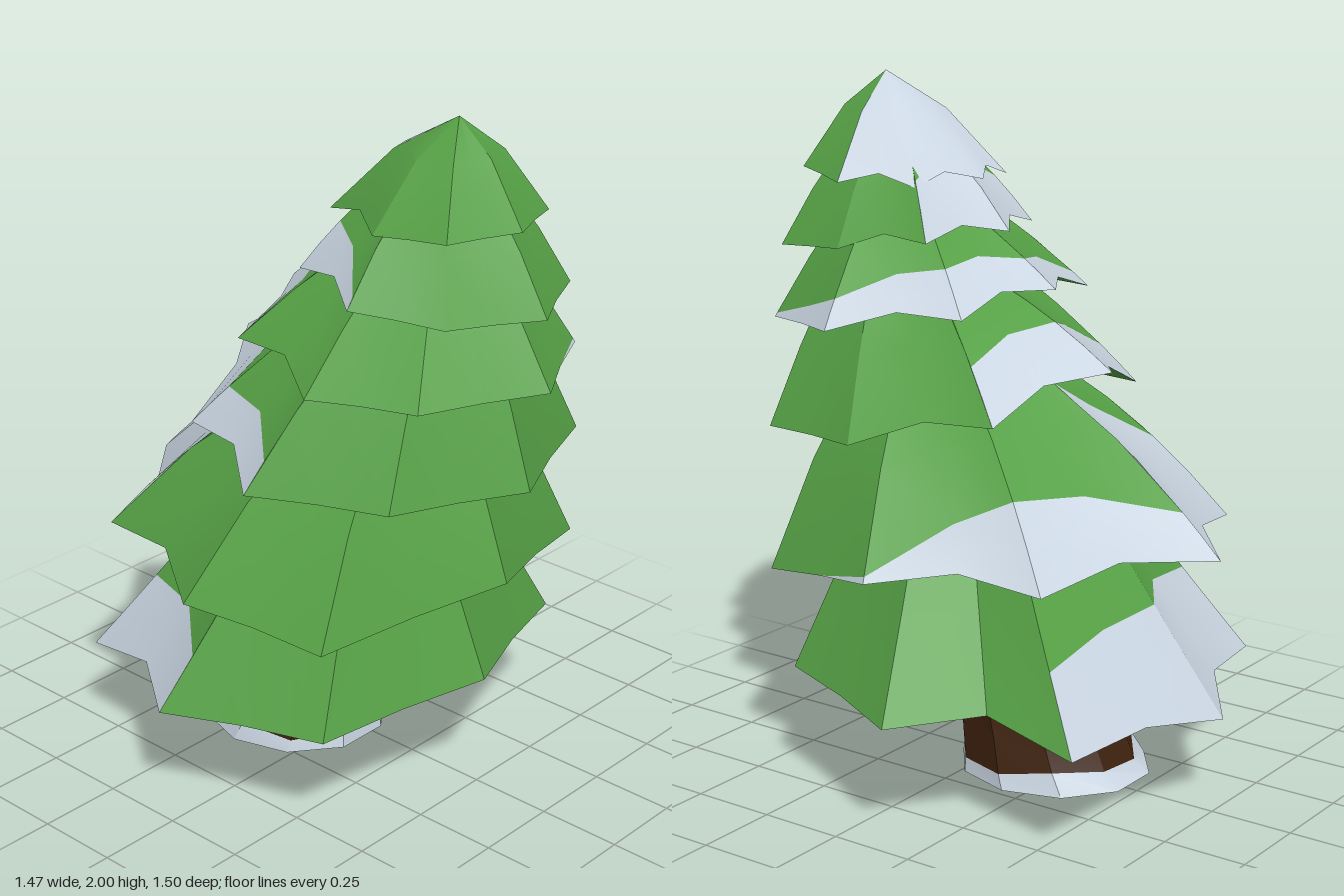
import * as THREE from 'three';
import { toCreasedNormals } from 'three/addons/utils/BufferGeometryUtils.js';

const V = (x, y, z) => new THREE.Vector3(x, y, z);
const paint = color => new THREE.MeshStandardMaterial({ color, side: THREE.DoubleSide });
const green = paint(0x55a045), snow = paint(0xc8d4e0), bark = paint(0x3f220f);

// adds a triangle unless it has no area
function tri(list, a, b, c) {
  const area = b.clone().sub(a).cross(c.clone().sub(a)).length();
  if (area > 1e-6) list.push(a, b, c);
}

// skins a stack of closed rings, listed from top to bottom
function skin(list, rings) {
  for (let r = 0; r < rings.length - 1; r++) {
    const up = rings[r], low = rings[r + 1], n = up.length;
    for (let j = 0; j < n; j++) {
      const k = (j + 1) % n;
      tri(list, up[j], low[j], low[k]);
      tri(list, up[j], low[k], up[k]);
    }
  }
}

function mesh(name, list, material) {
  const geo = new THREE.BufferGeometry().setFromPoints(list);
  const m = new THREE.Mesh(toCreasedNormals(geo, 0.45), material);
  m.name = name;
  return m;
}

// One skirt of branches. corners: eight [x, y, z, snow share of the slope,
// snow share past the corner if it changes there, depth of the next notch],
// from the front round by +x.
function tier(name, top, k, bulge, corners) {
  const group = new THREE.Group();
  group.name = name;
  const centre = V(0, 0, 0);
  corners.forEach(c => centre.add(V(c[0], c[1], c[2]).divideScalar(8)));

  // corners with a shallow notch between each pair, deeper at the back
  const rim = [];
  corners.forEach((c, j) => {
    const d = corners[(j + 1) % 8];
    const a = V(c[0], c[1], c[2]), b = V(d[0], d[1], d[2]);
    const mid = a.clone().lerp(b, 0.5), back = mid.z < centre.z;
    const pull = c[5] ?? (back ? 0.1 : 0.02);
    mid.x += (centre.x - mid.x) * pull;
    mid.z += (centre.z - mid.z) * pull;
    if (back) mid.y += 0.03;
    const leave = c[4] ?? c[3];
    rim.push({ p: a, w: c[3] });
    if (leave !== c[3]) rim.push({ p: a, w: leave });
    rim.push({ p: mid, w: leave && d[3] ? (leave + d[3]) / 2 : 0 });
  });

  // point on the slope, t = 0 at the top and 1 at the rim
  const slope = (e, t) => {
    const high = V(top[0] + k * (e.p.x - centre.x), top[1], top[2] + k * (e.p.z - centre.z));
    const p = high.lerp(e.p, t);
    p.y += bulge * 4 * t * (1 - t);
    return p;
  };
  const ring = f => rim.map(e => slope(e, f(1 - e.w)));
  const needles = [], cover = [];
  skin(needles, [ring(() => 0), ring(s => s / 2), ring(s => s)]);
  skin(cover, [ring(s => s), ring(s => (s + 1) / 2), ring(() => 1)]);

  // hollow underside
  const hub = V(centre.x, centre.y, centre.z).lerp(V(...top), 0.65);
  skin(needles, [rim.map(e => e.p), rim.map(() => hub)]);
  group.add(mesh(name + 'Needles', needles, green), mesh(name + 'Snow', cover, snow));
  return group;
}

function trunk() {
  const group = new THREE.Group();
  group.name = 'trunk';
  const n = 10;
  const ring = (y, x, z, rx, rz, wave = 0) => Array.from({ length: n }, (_, j) => {
    const a = (j + 0.5) / n * Math.PI * 2;
    return V(x + rx * Math.sin(a), y + wave * Math.sin(a * 3 + 1), z + rz * Math.cos(a));
  });
  const foot = ring(0, -0.045, -0.185, 0.272, 0.29);
  const line = ring(0.05, -0.042, -0.165, 0.258, 0.26, 0.015);
  const wood = [], cover = [], base = [];
  skin(wood, [ring(0.75, -0.03, 0.06, 0.17, 0.17), ring(0.37, -0.03, -0.075, 0.215, 0.225),
    ring(0.14, -0.04, -0.14, 0.243, 0.245), line]);
  skin(cover, [line, foot]);
  skin(base, [foot, foot.map(() => V(-0.045, 0, -0.185))]);
  group.add(mesh('trunkBark', wood, bark), mesh('trunkSnow', cover, snow), mesh('trunkBase', base, bark));
  return group;
}

export function createModel() {
  const tree = new THREE.Group();
  tree.name = 'leaningSnowyFir';
  tree.add(trunk());

  // six skirts of branches, lowest first, leaning to the front as they rise
  tree.add(tier('lowestBranches', [-0.05, 0.85, 0.05], 0.5, -0.005, [
    [-0.05, 0.38, 0.56, 0], [0.49, 0.34, 0.36, 0], [0.73, 0.34, -0.15, 0, 0, 0.2], [0.56, 0.31, -0.65, 0, 0.35, 0.03],
    [-0.05, 0.26, -0.75, 0.5], [-0.54, 0.29, -0.54, 0.45], [-0.74, 0.33, -0.05, 0.3, 0], [-0.56, 0.335, 0.41, 0]]));
  tree.add(tier('lowerBranches', [-0.04, 1.15, 0.15], 0.45, 0.035, [
    [-0.05, 0.71, 0.63, 0], [0.49, 0.62, 0.44, 0], [0.64, 0.7, -0.02, 0.03], [0.46, 0.7, -0.48, 0.4],
    [-0.05, 0.72, -0.73, 0.22, 1], [-0.51, 0.7, -0.48, 0.45, 0], [-0.71, 0.69, 0.03, 0], [-0.62, 0.65, 0.46, 0]]));
  tree.add(tier('middleBranches', [-0.04, 1.42, 0.28], 0.5, 0.015, [
    [-0.05, 1.01, 0.7, 0], [0.39, 1.01, 0.52, 0], [0.49, 1.03, 0.15, 0], [0.36, 1.11, -0.25, 0, 0.4],
    [-0.03, 1.21, -0.38, 0.5], [-0.44, 1.08, -0.2, 0.3], [-0.6, 1.02, 0.16, 0.2, 0], [-0.42, 1.01, 0.52, 0]]));
  tree.add(tier('upperMiddleBranches', [-0.03, 1.62, 0.32], 0.45, 0.01, [
    [-0.04, 1.31, 0.75, 0], [0.3, 1.31, 0.57, 0.03], [0.45, 1.33, 0.26, 0.25], [0.27, 1.37, -0.08, 0.45],
    [-0.04, 1.42, -0.18, 0.35], [-0.4, 1.36, -0.05, 0.15, 0], [-0.51, 1.31, 0.3, 0], [-0.39, 1.31, 0.59, 0]]));
  tree.add(tier('upperBranches', [-0.03, 1.8, 0.36], 0.45, 0.015, [
    [-0.04, 1.51, 0.73, 0], [0.24, 1.51, 0.59, 0], [0.29, 1.53, 0.34, 0], [0.22, 1.56, 0.08, 0, 0.6],
    [-0.04, 1.57, -0.02, 0.9], [-0.28, 1.56, 0.07, 0.5], [-0.42, 1.55, 0.37, 0.1, 0], [-0.3, 1.52, 0.6, 0]]));
  tree.add(tier('treetop', [-0.04, 2, 0.42], 0, 0.04, [
    [-0.04, 1.73, 0.64, 0], [0.16, 1.73, 0.57, 0], [0.25, 1.71, 0.37, 0, 1], [0.15, 1.7, 0.17, 1],
    [-0.05, 1.71, 0.08, 1], [-0.18, 1.71, 0.09, 1, 0], [-0.3, 1.72, 0.35, 0], [-0.25, 1.73, 0.56, 0]]));
  return tree;
}
